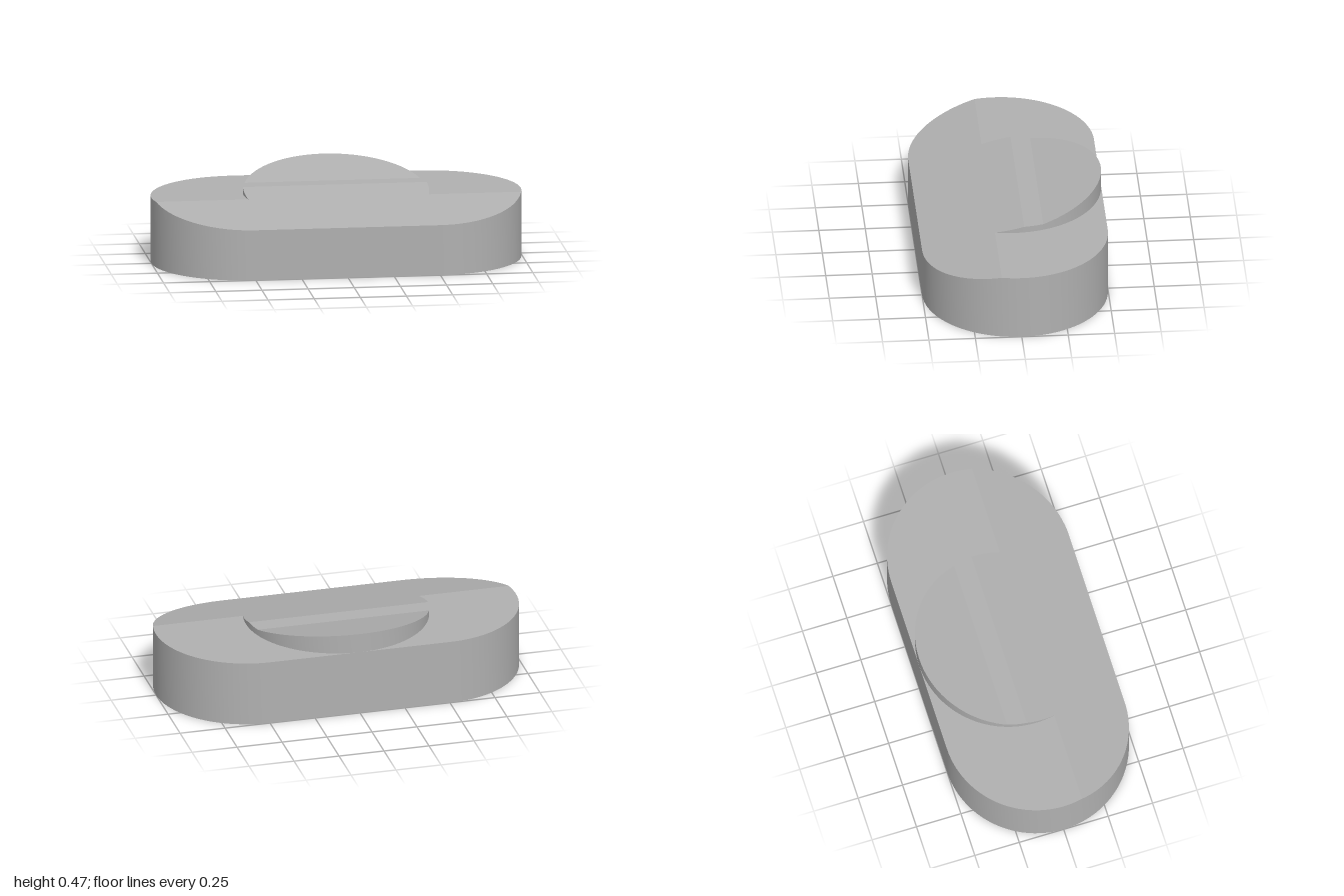
import * as THREE from 'three';

const R = 0.5;          // radius of the round ends and of the raised disc
const CREASE = 0.107;   // where the front ramp meets the flat rear deck
const DECK = 0.36;      // height of the rear deck

// Side profile of the ramp and disc top: [z, y]
const PROFILE = [[-R, 0.467], [-0.155, 0.394], [-0.05, 0.394], [CREASE, DECK], [R, 0.275]];

function rampHeight(z) {
  for (let i = 1; i < PROFILE.length; i++) {
    const [z0, y0] = PROFILE[i - 1], [z1, y1] = PROFILE[i];
    if (z <= z1) return y0 + (y1 - y0) * (z - z0) / (z1 - z0);
  }
  return PROFILE[PROFILE.length - 1][1];
}
const deckHeight = (z) => Math.min(DECK, rampHeight(z));

// Half widths in x at a given z
const discWidth = (z) => Math.sqrt(Math.max(0, R * R - z * z));
const bodyWidth = (z) => 0.5 + discWidth(z);

// z values spaced evenly around the arc, with exact end points
function samples(z0, z1) {
  const a0 = Math.asin(z0 / R), a1 = Math.asin(z1 / R);
  const n = Math.max(2, Math.ceil(Math.abs(a1 - a0) / 0.06));
  const out = [];
  for (let i = 0; i <= n; i++) out.push(R * Math.sin(a0 + (a1 - a0) * i / n));
  out[0] = z0;
  out[n] = z1;
  return out;
}

function makeGeometry(positions, index) {
  const g = new THREE.BufferGeometry();
  g.setAttribute('position', new THREE.Float32BufferAttribute(positions, 3));
  g.setIndex(index);
  g.computeVertexNormals();
  return g;
}

// Upward-facing sheet between z0 and z1
function sheet(z0, z1, width, height) {
  const pos = [], idx = [];
  samples(z0, z1).forEach((z, i) => {
    pos.push(-width(z), height(z), z, width(z), height(z), z);
    if (i > 0) {
      const a = 2 * i - 2;
      idx.push(a, a + 2, a + 3, a, a + 3, a + 1);
    }
  });
  return makeGeometry(pos, idx);
}

// Upright wall along a path of [x, z] points
function wall(path, low, high, closed) {
  const pos = [], idx = [], n = path.length;
  path.forEach(([x, z], i) => {
    pos.push(x, low(z), z, x, high(z), z);
    if (i < n - 1 || closed) {
      const a = 2 * i, b = 2 * ((i + 1) % n);
      idx.push(a, a + 1, b + 1, a, b + 1, b);
    }
  });
  return makeGeometry(pos, idx);
}

export function createModel() {
  const group = new THREE.Group();
  const grey = new THREE.MeshStandardMaterial({ color: 0xb0b0b0 });
  grey.name = 'plainGrey';
  const add = (name, geometry) => {
    const mesh = new THREE.Mesh(geometry, grey);
    mesh.name = name;
    group.add(mesh);
    return mesh;
  };

  // Rounded oblong body
  const zs = [...samples(-R, CREASE), ...samples(CREASE, R).slice(1)];
  const outline = [
    ...zs.map((z) => [bodyWidth(z), z]),
    ...zs.slice().reverse().map((z) => [-bodyWidth(z), z]),
  ];
  add('bodyWall', wall(outline, () => 0, deckHeight, true));
  add('rearDeck', sheet(-R, CREASE, bodyWidth, () => DECK));
  add('frontRamp', sheet(CREASE, R, bodyWidth, rampHeight));

  // Raised disc continuing the ramp, with a level band across it
  const discZ = [];
  for (let i = 1; i < 4; i++) {
    const z0 = PROFILE[i - 1][0], z1 = PROFILE[i][0];
    add(['discRearSlope', 'discLevelBand', 'discFrontSlope'][i - 1], sheet(z0, z1, discWidth, rampHeight));
    discZ.push(...samples(z0, z1).slice(i > 1 ? 1 : 0));
  }
  const discPath = [
    ...discZ.slice(1).reverse().map((z) => [-discWidth(z), z]),
    ...discZ.map((z) => [discWidth(z), z]),
  ];
  add('discWall', wall(discPath, () => DECK, rampHeight, false));

  // Underside with two blind round holes
  const holeX = 0.575, holeR = 0.222, holeDepth = 0.217, sides = 64;
  const base = new THREE.Shape(outline.map(([x, z]) => new THREE.Vector2(x, z)));
  for (const side of [1, -1]) {
    const path = [];
    for (let i = 0; i < sides; i++) {
      const t = -2 * Math.PI * i / sides;
      path.push([side * holeX + holeR * Math.cos(t), holeR * Math.sin(t)]);
    }
    base.holes.push(new THREE.Path(path.map(([x, z]) => new THREE.Vector2(x, z))));
    const label = side > 0 ? 'left' : 'right';
    add(label + 'HoleWall', wall(path, () => 0, () => holeDepth, true));
    const end = add(label + 'HoleEnd', new THREE.CircleGeometry(holeR, sides).rotateX(Math.PI / 2));
    end.position.set(side * holeX, holeDepth, 0);
  }
  add('underside', new THREE.ShapeGeometry(base).rotateX(Math.PI / 2));

  return group;
}
